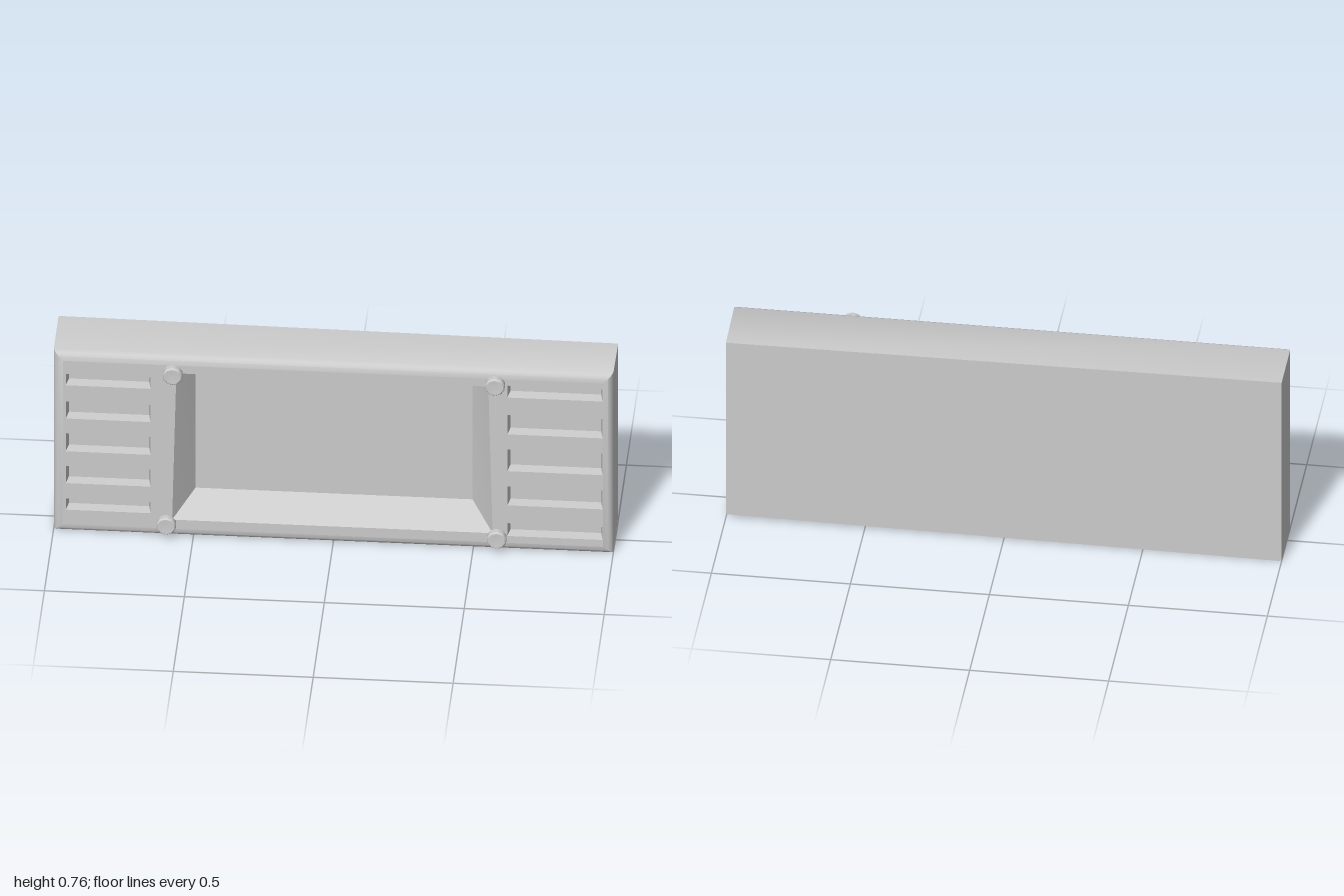
import * as THREE from 'three';
import { toCreasedNormals } from 'three/addons/utils/BufferGeometryUtils.js';

const material = new THREE.MeshStandardMaterial({ color: 0xcccccc });
const W = 1, H = 0.757, FRONT = 0.106;

// Four corners, counter-clockwise seen from the front
const rect = (x0, x1, y0, y1, z) => [[x0, y0, z], [x1, y0, z], [x1, y1, z], [x0, y1, z]];
const inset = (d, z) => rect(-W + d, W - d, d, H - d, z);

// Skin between four-cornered rings; the start or end ring may be closed
function loft(rings, closeStart, closeEnd) {
  const pos = [];
  const quad = (a, b, c, d) => pos.push(...a, ...b, ...c, ...a, ...c, ...d);
  for (let r = 0; r + 1 < rings.length; r++) {
    for (let i = 0; i < 4; i++) {
      const j = (i + 1) % 4;
      quad(rings[r][i], rings[r][j], rings[r + 1][j], rings[r + 1][i]);
    }
  }
  if (closeStart) quad(...[...rings[0]].reverse());
  if (closeEnd) quad(...rings[rings.length - 1]);
  const geometry = new THREE.BufferGeometry();
  geometry.setAttribute('position', new THREE.Float32BufferAttribute(pos, 3));
  geometry.computeVertexNormals();
  return toCreasedNormals(geometry, 0.6);
}

export function createModel() {
  const group = new THREE.Group();
  const add = (name, geometry) => {
    const mesh = new THREE.Mesh(geometry, material);
    mesh.name = name;
    group.add(mesh);
    return mesh;
  };

  // Casing: slightly skewed back, softly rounded front edge
  const back = [[-W, 0, -0.137], [W, 0.015, -0.133], [W, 0.743, -0.133], [-W, H, -0.137]];
  add('casing', loft([
    back, inset(0, 0.08), inset(0.007, 0.094), inset(0.018, 0.102), inset(0.035, FRONT),
  ], true, false));

  // Front panel, pierced by the window and the vent slots
  const toPath = (ring) => ring.map(([x, y]) => new THREE.Vector2(x, y));
  const panel = new THREE.Shape(toPath(inset(0.035, FRONT)));
  const cut = (name, opening, floor) => {
    panel.holes.push(new THREE.Path(toPath(opening).reverse()));
    add(name, loft([opening, floor], false, true));
  };

  // Window with sloping walls
  cut('windowRecess',
    [[-0.575, 0.073, FRONT], [0.57, 0.073, FRONT], [0.555, 0.69, FRONT], [-0.56, 0.69, FRONT]],
    rect(-0.5, 0.49, 0.145, 0.627, 0.0));

  // Vent slots on both sides: [bottom, top]
  const vents = [
    ['rightVent', -0.955, -0.652,
      [[0.096, 0.144], [0.208, 0.28], [0.342, 0.418], [0.48, 0.552], [0.62, 0.668]]],
    ['leftVent', 0.623, 0.963,
      [[0.064, 0.118], [0.193, 0.273], [0.337, 0.428], [0.492, 0.573], [0.647, 0.697]]],
  ];
  for (const [name, x0, x1, slots] of vents) {
    for (const [y0, y1] of slots) {
      cut(name, rect(x0, x1, y0, y1, FRONT),
        rect(x0 + 0.008, x1 - 0.008, y0 + 0.004, y1 - 0.004, FRONT - 0.04));
    }
  }
  add('frontPanel', new THREE.ShapeGeometry(panel).translate(0, 0, FRONT));

  // Corner screws with a chamfered, slightly dished head
  const profile = [[0, 0], [0.03, 0], [0.036, 0.006], [0.036, 0.026], [0.031, 0.032], [0.02, 0.032], [0, 0.029]];
  const screw = toCreasedNormals(
    new THREE.LatheGeometry(profile.map(([r, y]) => new THREE.Vector2(r, y)), 10).rotateX(Math.PI / 2), 0.65);
  for (const [x, y] of [[-0.572, 0.692], [0.58, 0.704], [-0.595, 0.06], [0.586, 0.06]]) {
    add('screw', screw).position.set(x, y, FRONT - 0.001);
  }
  return group;
}
